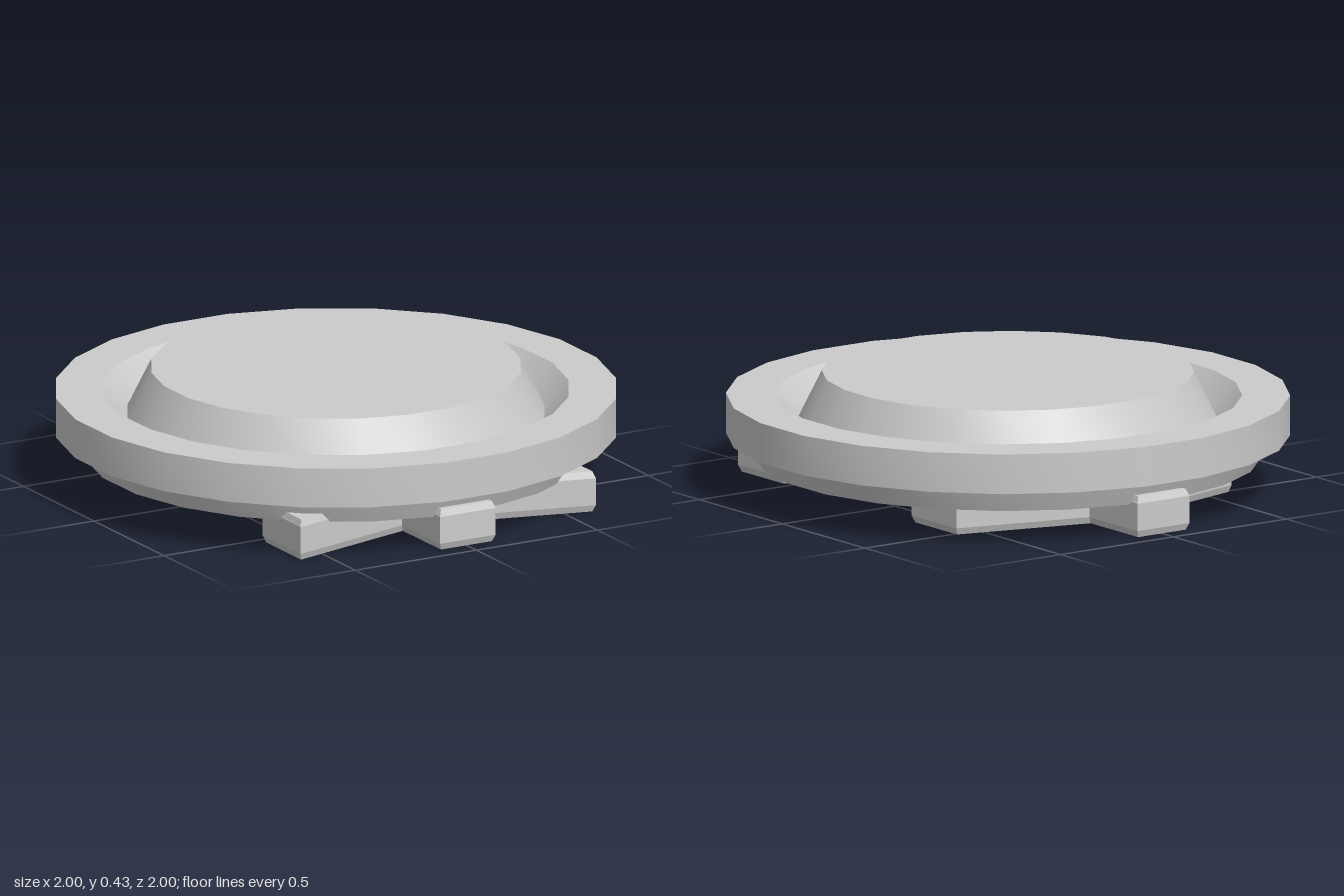
import * as THREE from 'three';
import { toCreasedNormals } from 'three/addons/utils/BufferGeometryUtils.js';

const SIDES = 24;

export function createModel() {
  const group = new THREE.Group();
  const material = new THREE.MeshStandardMaterial({ color: 0xcccccc });

  // Round plate: tapered underside, wide rim, V groove and raised centre.
  // Radii are measured to the flats, then scaled out to the corners.
  const toCorner = 1 / Math.cos(Math.PI / SIDES);
  const profile = [
    [0, 0.115], [0.895, 0.115], [0.93, 0.2], [1, 0.2], [1, 0.345],
    [0.83, 0.345], [0.745, 0.255], [0.66, 0.43], [0, 0.43],
  ].map(([r, y]) => new THREE.Vector2(r * toCorner, y));
  const lathe = new THREE.LatheGeometry(profile, SIDES, Math.PI / SIDES);
  const plate = new THREE.Mesh(toCreasedNormals(lathe, Math.PI / 7), material);
  plate.name = 'plate';
  group.add(plate);

  // Raised relief underneath: a bar with two pairs of swept arms,
  // drawn as one half in (x, z) and mirrored.
  const half = [
    [0.115, -0.94], [0.115, -0.65], [0.61, -0.52], [0.61, -0.25], [0.16, -0.37],
    [0.16, 0.41], [0.61, 0.53], [0.61, 0.8], [0.115, 0.67], [0.115, 0.94],
  ];
  const outline = [...half, ...half.map(([x, z]) => [-x, z]).reverse()];
  const toPoints = (list) => list.map(([x, z]) => new THREE.Vector2(x, z));
  const shape = new THREE.Shape(toPoints(outline));

  // Slot through the middle of the bar
  shape.holes.push(new THREE.Path(toPoints([
    [-0.1, -0.29], [-0.1, 0.28], [0.1, 0.28], [0.1, -0.29],
  ])));

  // Chamfered lower edges; the upper end is sunk into the plate
  const depth = 0.1, chamfer = 0.025, inset = 0.01;
  const relief = new THREE.ExtrudeGeometry(shape, {
    depth, bevelEnabled: true, bevelSegments: 1,
    bevelThickness: chamfer, bevelSize: inset, bevelOffset: -inset,
  });
  relief.rotateX(Math.PI / 2).translate(0, depth + chamfer, 0);
  const underside = new THREE.Mesh(relief, material);
  underside.name = 'undersideRelief';
  group.add(underside);

  return group;
}
